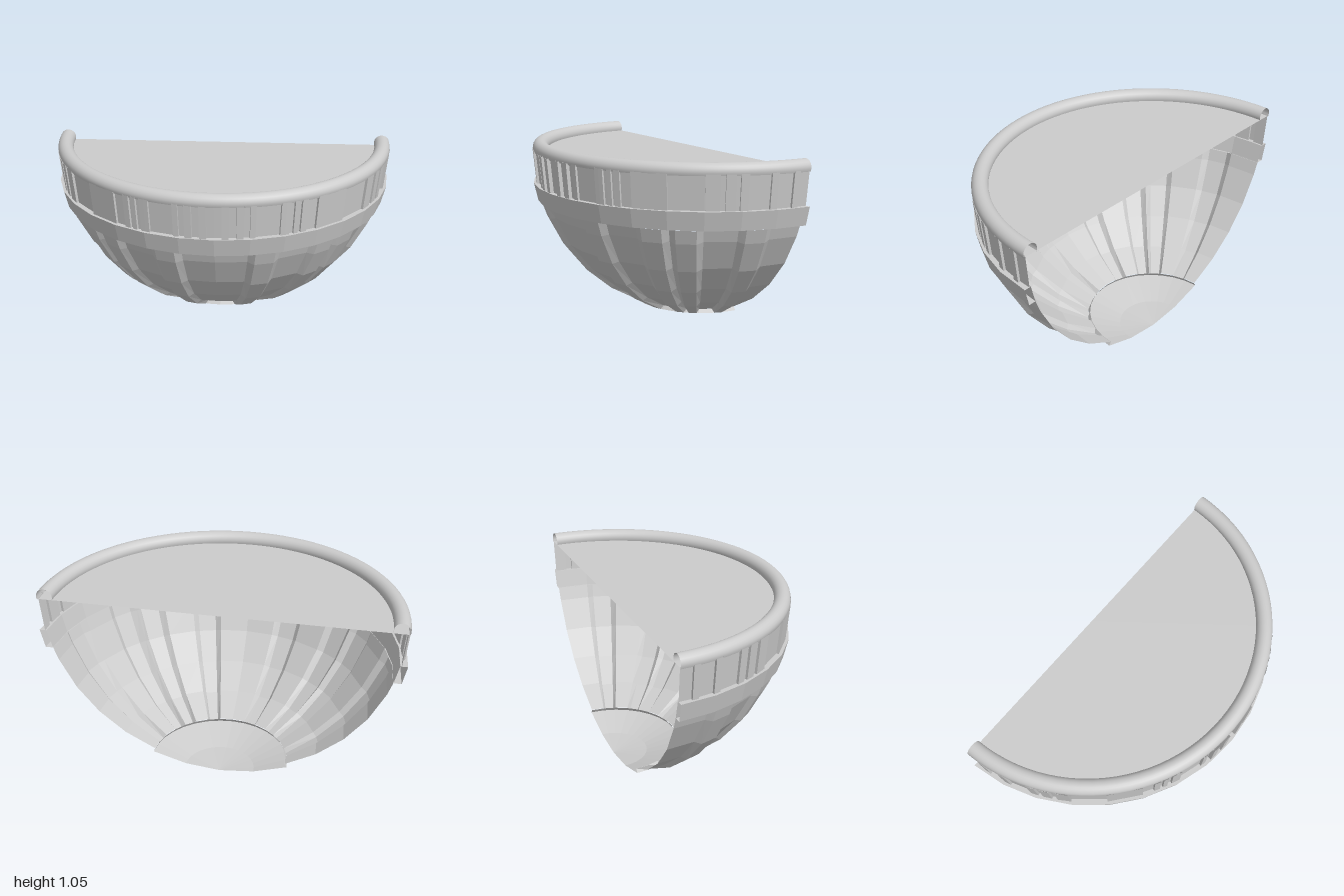
import * as THREE from 'three';

const AXIS_Z = -0.5;   // the bowl is cut in half along its vertical axis
const CENTRE_Y = 1;    // height of the sphere centre
const STEP = 11.25;    // facet size in degrees
const rad = THREE.MathUtils.degToRad;

const facetMat = new THREE.MeshStandardMaterial({ color: 0xcccccc, flatShading: true, side: THREE.DoubleSide });
const smoothMat = new THREE.MeshStandardMaterial({ color: 0xcccccc, side: THREE.DoubleSide });

// Point on a sphere: phi turns from the front toward +x, lat goes down from the rim
function onSphere(phi, lat, r) {
  const h = r * Math.cos(rad(lat));
  return [h * Math.sin(rad(phi)), CENTRE_Y - r * Math.sin(rad(lat)), AXIS_Z + h * Math.cos(rad(phi))];
}

// Skin between columns of points
function skin(columns, name) {
  const rows = columns[0].length;
  const index = [];
  for (let i = 0; i < columns.length - 1; i++) {
    for (let j = 0; j < rows - 1; j++) {
      const a = i * rows + j, d = a + rows;
      index.push(a, a + 1, d + 1, a, d + 1, d);
    }
  }
  const geo = new THREE.BufferGeometry();
  geo.setAttribute('position', new THREE.Float32BufferAttribute(columns.flat(2), 3));
  geo.setIndex(index);
  geo.computeVertexNormals();
  const mesh = new THREE.Mesh(geo, facetMat);
  mesh.name = name;
  return mesh;
}

// Half-round angles in even facets
const halfTurn = Array.from({ length: 17 }, (_, i) => -90 + i * STEP);

// Spherical shell with raised strips [start, end, radius], their sides sloping over the bevel angle
function relief(name, lats, low, strips, bevel) {
  const cols = halfTurn.map(phi => {
    const strip = strips.find(([a, b]) => phi > a && phi < b);
    return { phi, order: 0, r: strip ? strip[2] : low };
  });
  for (const [a, b, r] of strips) {
    cols.push({ phi: a, order: 0, r: low }, { phi: a + bevel, order: 1, r });
    cols.push({ phi: b - bevel, order: -1, r }, { phi: b, order: 0, r: low });
  }
  cols.sort((p, q) => p.phi - q.phi || p.order - q.order);
  return skin(cols.map(c => lats.map(lat => onSphere(c.phi, lat, c.r))), name);
}

// Repeat the strips on the other side
const mirrored = strips => strips.concat(strips.map(([a, b, r]) => [-b, -a, r]));

// Half ring swept from a profile of [radius, y]
function halfRing(name, profile) {
  return skin(halfTurn.map(phi => profile.map(([r, y]) =>
    [r * Math.sin(rad(phi)), y, AXIS_Z + r * Math.cos(rad(phi))])), name);
}

export function createModel() {
  const model = new THREE.Group();

  // Bowl with broad raised ribs, one facet wide
  const ribs = [1, 3, 4, 6].map(n => [n * STEP, (n + 1) * STEP, 1]);
  model.add(relief('ribbedBowl', [17.7, 22.5, 33.75, 45, 56.25, 67.5], 0.975, mirrored(ribs), 2.2));

  // Upper wall with low raised blocks and four taller ones at the front
  const tall = [[2.4, 4.6], [7, 9.2]].map(([a, b]) => [a, b, 1.005]);
  const flat = [[11.25, 13], [21, 24], [25.5, 27], [28, 30], [33.75, 45], [56.5, 60.8],
    [62.5, 65.5], [67, 69.5], [76.5, 78.75], [84, 86]].map(([a, b]) => [a, b, 0.997]);
  model.add(relief('blockWall', [0, 11.5], 0.983, mirrored(tall.concat(flat)), 0));

  // Inner lining behind the belt
  model.add(relief('lining', [11.5, 17.7], 0.975, [], 0));

  // Protruding belt with ledges above and below
  model.add(halfRing('belt', [[0.955, 0.805], [0.995, 0.805], [0.97, 0.7], [0.926, 0.7]]));

  // Bottom cap with a small step
  model.add(halfRing('bottomCap', [[0.37, 0.098], [0.383, 0.077], [0.195, 0.02], [0, 0]]));

  // Flat lid
  const lidGeo = new THREE.CircleGeometry(0.985, 48, Math.PI, Math.PI);
  lidGeo.rotateX(-Math.PI / 2);
  const lid = new THREE.Mesh(lidGeo, facetMat);
  lid.position.set(0, CENTRE_Y - 0.005, AXIS_Z);
  lid.name = 'lid';
  model.add(lid);

  // Rounded rim, open at both ends and underneath
  const arc = Array.from({ length: 15 }, (_, i) => {
    const t = rad(-26 + i * 232 / 14);
    return new THREE.Vector2(0.95 + 0.045 * Math.cos(t), 1.01 + 0.045 * Math.sin(t));
  });
  const rim = new THREE.Mesh(new THREE.LatheGeometry(arc, 48, -Math.PI / 2, Math.PI), smoothMat);
  rim.position.z = AXIS_Z;
  rim.name = 'rim';
  model.add(rim);

  return model;
}
